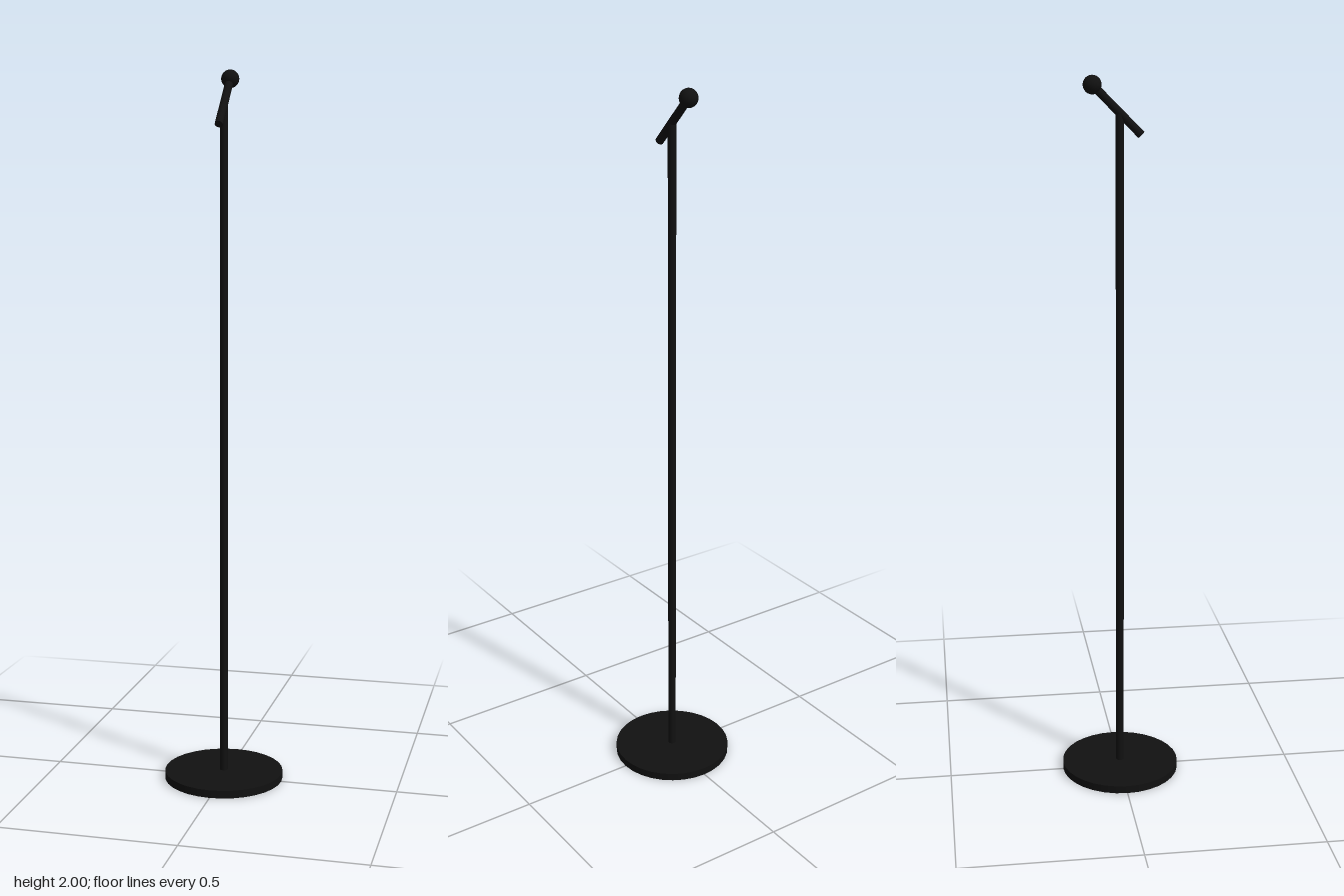
import * as THREE from 'three';

export function createModel() {
  const group = new THREE.Group();
  const black = new THREE.MeshStandardMaterial({ color: 0x111111 });

  const add = (name, geometry, y, z = 0) => {
    const mesh = new THREE.Mesh(geometry, black);
    mesh.name = name;
    mesh.position.set(0, y, z);
    group.add(mesh);
    return mesh;
  };

  const baseHeight = 0.022, poleTop = 1.902, rodRadius = 0.0113;

  // Round floor plate and upright pole
  add('base', new THREE.CylinderGeometry(0.169, 0.169, baseHeight, 32), baseHeight / 2);
  add('pole', new THREE.CylinderGeometry(rodRadius, rodRadius, poleTop - 0.01, 16), (poleTop + 0.01) / 2);

  // Microphone handle, tilted 45 degrees with its upper end to the back
  const tail = 0.057, head = -0.073;
  const middle = (tail + head) / 2;
  const length = (tail - head) * Math.SQRT2;
  const handle = add('microphoneHandle',
    new THREE.CylinderGeometry(rodRadius, rodRadius, length, 16), poleTop - middle, middle);
  handle.rotation.x = -Math.PI / 4;

  // Ball-shaped microphone head
  add('microphoneHead', new THREE.SphereGeometry(0.025, 24, 16), poleTop - head, head);

  return group;
}
